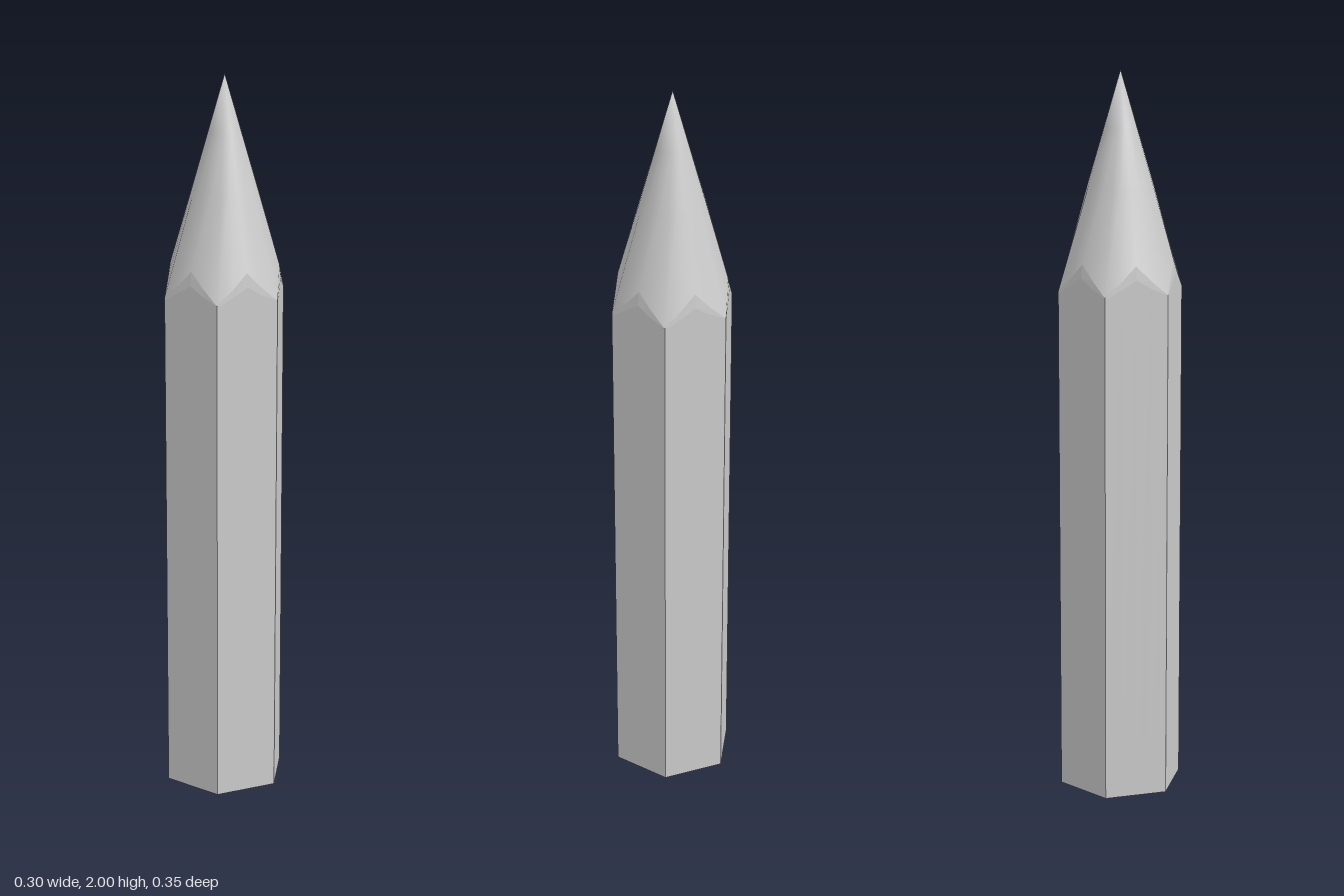
import * as THREE from 'three';
import { mergeVertices } from 'three/addons/utils/BufferGeometryUtils.js';

const SEG = 24;          // four steps per hexagon side
const APOTHEM = 0.15;

// Skin a stack of rings (bottom to top); each ring maps step i to { r, y }
function loft(rings) {
  const pos = [], index = [];
  for (const ring of rings) {
    for (let i = 0; i < SEG; i++) {
      const a = (i / SEG) * Math.PI * 2;
      const { r, y } = ring(i);
      pos.push(r * Math.sin(a), y, r * Math.cos(a));
    }
  }
  for (let j = 0; j < rings.length - 1; j++) {
    for (let i = 0; i < SEG; i++) {
      const k = (i + 1) % SEG;
      const a = j * SEG + i, b = j * SEG + k;
      index.push(a, b, b + SEG, a, b + SEG, a + SEG);
    }
  }
  const geo = new THREE.BufferGeometry();
  geo.setAttribute('position', new THREE.Float32BufferAttribute(pos, 3));
  geo.setIndex(index);
  const merged = mergeVertices(geo);
  merged.computeVertexNormals();
  return merged;
}

// Hexagonal ring with corners on the z axis; height runs from corner to mid-side
function hexRing(yCorner, yMid = yCorner, inset = 0) {
  return (i) => {
    const f = 1 - Math.abs((i % 4) - 2) / 2;      // 0 at a corner, 1 at mid-side
    const a = (1 - f) * Math.PI / 6;
    return { r: APOTHEM / Math.cos(a) - inset * f, y: yCorner + (yMid - yCorner) * f };
  };
}
const roundRing = (r, y) => () => ({ r, y });

export function createModel() {
  const group = new THREE.Group();
  const add = (name, rings, flatShading) => {
    const mat = new THREE.MeshStandardMaterial({ color: 0xcccccc, flatShading });
    const mesh = new THREE.Mesh(loft(rings), mat);
    mesh.name = name;
    group.add(mesh);
  };

  const scallop = hexRing(1.42, 1.5, 0.004);

  // Six-sided shaft with a scalloped upper edge
  add('shaft', [hexRing(0.025), hexRing(1.415, 1.463), scallop], true);

  // Smooth sharpened cone up to the point
  add('sharpenedTip', [scallop, roundRing(0.088, 1.7), roundRing(0.044, 1.85), roundRing(0, 2)], false);

  // Shallow domed end
  add('bottomEnd', [roundRing(0, 0), hexRing(0.025)], false);

  return group;
}
